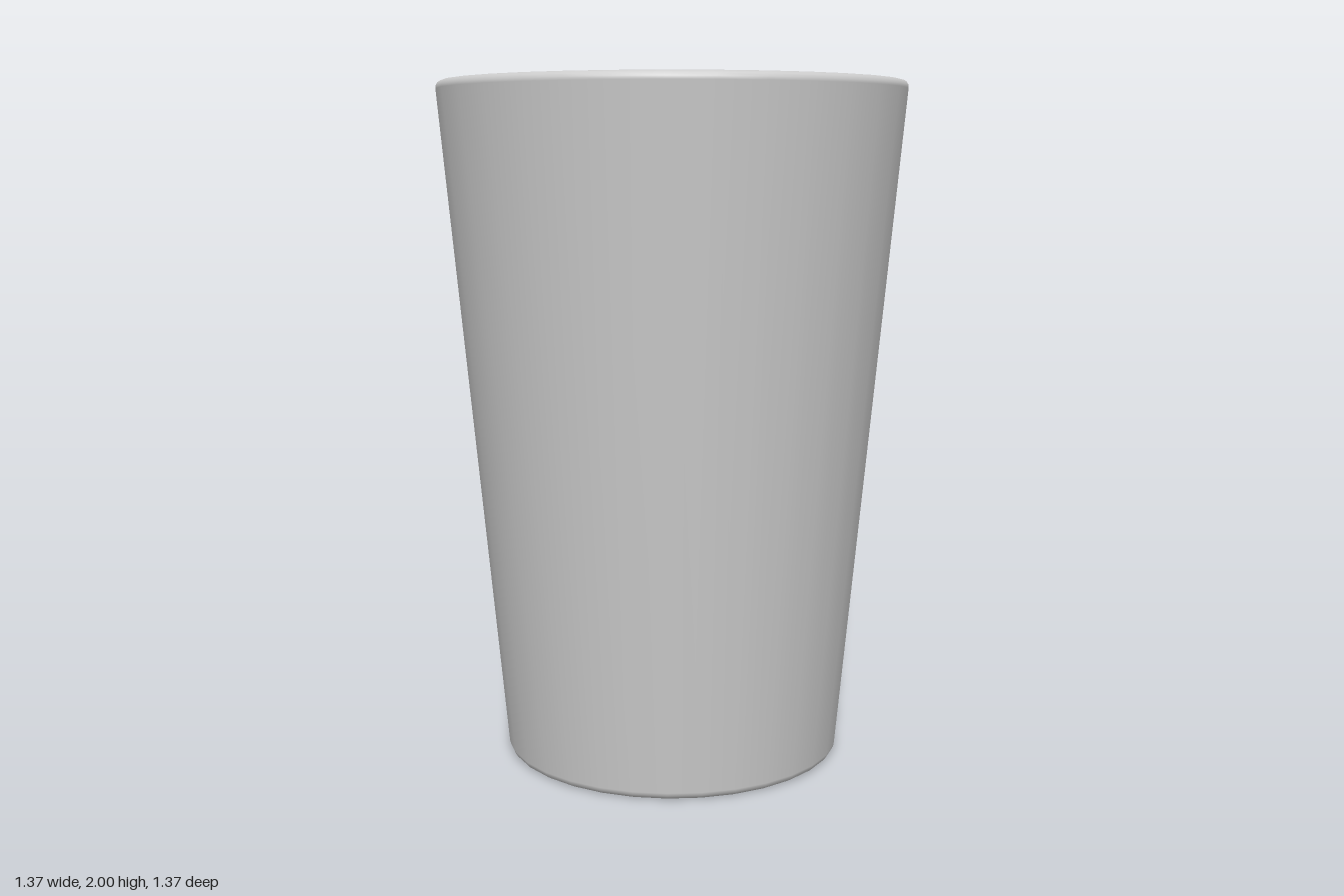
import * as THREE from 'three';

const SIDES = 32;

// Quarter-round profile points, swept from angle a to angle b
function arc(cx, cy, r, a, b, steps = 4) {
  return Array.from({ length: steps + 1 }, (_, i) => {
    const t = a + ((b - a) * i) / steps;
    return new THREE.Vector2(cx + r * Math.cos(t), cy + r * Math.sin(t));
  });
}

export function createModel() {
  const cup = new THREE.Group();
  cup.name = 'tumbler';
  const material = new THREE.MeshStandardMaterial({ color: 0xcccccc });

  const addLathe = (name, points) => {
    const mesh = new THREE.Mesh(new THREE.LatheGeometry(points, SIDES), material);
    mesh.name = name;
    cup.add(mesh);
  };
  const p = (x, y) => new THREE.Vector2(x, y);

  const lean = Math.atan(0.093); // outward tilt of the wall
  const floorY = 0.1;

  // Flat underside
  addLathe('underside', [p(0, 0), p(0.478, 0)]);

  // Tapered outer wall with rounded foot and rounded lip
  addLathe('outerWall', [
    ...arc(0.478, 0.025, 0.025, -Math.PI / 2, -lean),
    ...arc(0.662, 1.978, 0.022, -lean, Math.PI / 2),
    ...arc(0.642, 1.978, 0.022, Math.PI / 2, Math.PI - lean),
  ]);

  // Tapered inner wall
  addLathe('innerWall', [p(0.62, 1.98), p(0.462, floorY)]);

  // Inside floor
  addLathe('floor', [p(0.462, floorY), p(0, floorY)]);

  return cup;
}
